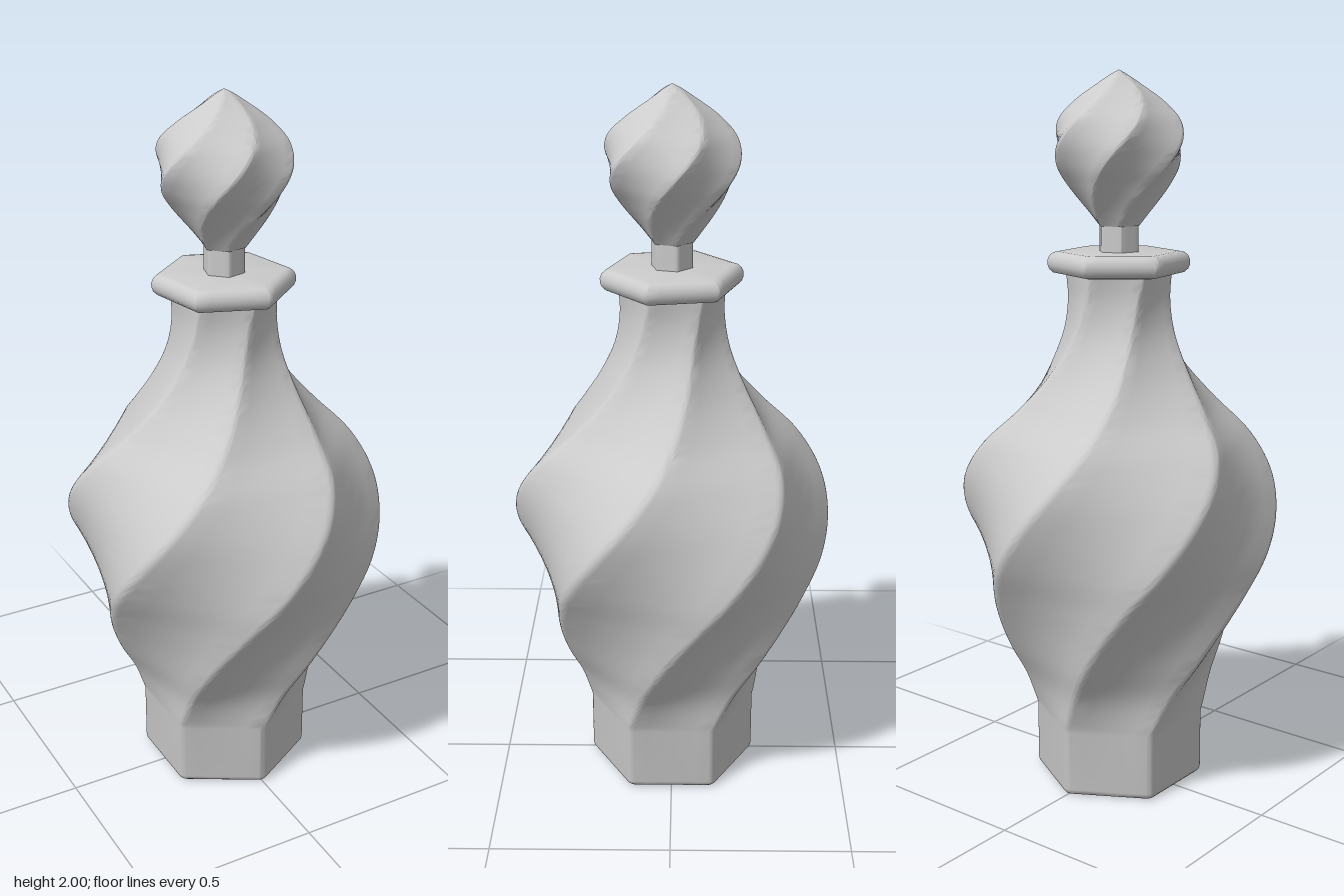
import * as THREE from 'three';
import { toCreasedNormals } from 'three/addons/utils/BufferGeometryUtils.js';

const RAD = Math.PI / 180;

// Hexagon of unit corner radius with filleted corners; first corner faces +z, turning towards +x
function hexSection(fillet, arcSteps = 5, sideSteps = 6) {
  const corner = 1 + fillet * (1 / Math.cos(30 * RAD) - 1);
  const centre = corner - fillet / Math.cos(30 * RAD);
  const points = [];
  for (let k = 0; k < 6; k++) {
    const a = k * 60 * RAD;
    const onArc = (base, t) => new THREE.Vector2(
      centre * Math.sin(base) + fillet * Math.sin(base + t),
      centre * Math.cos(base) + fillet * Math.cos(base + t));
    for (let i = 0; i <= arcSteps; i++) points.push(onArc(a, (-30 + 60 * i / arcSteps) * RAD));
    const from = onArc(a, 30 * RAD), to = onArc(a + 60 * RAD, -30 * RAD);
    for (let i = 1; i < sideSteps; i++) points.push(from.clone().lerp(to, i / sideSteps));
  }
  return points;
}

// Skin a stack of [radius, height] rings, each turned by twist(height) degrees
function loft(profile, twist, fillet = 0.1) {
  const section = hexSection(fillet), n = section.length;
  const positions = [], index = [];
  profile.forEach(([r, y], j) => {
    const a = twist(y) * RAD, c = Math.cos(a), s = Math.sin(a);
    section.forEach((p, i) => {
      positions.push(r * (p.x * c + p.y * s), y, r * (p.y * c - p.x * s));
      if (j === 0) return;
      const i2 = (i + 1) % n, lo = (j - 1) * n, hi = j * n;
      if (profile[j - 1][0] > 0) index.push(lo + i, lo + i2, hi + i2);
      if (r > 0) index.push(lo + i, hi + i2, hi + i);
    });
  });
  const geometry = new THREE.BufferGeometry();
  geometry.setAttribute('position', new THREE.Float32BufferAttribute(positions, 3));
  geometry.setIndex(index);
  return toCreasedNormals(geometry, 35 * RAD);
}

// Smooth curve through [radius, height] points
function smooth(points, steps) {
  const curve = new THREE.CatmullRomCurve3(points.map(([r, y]) => new THREE.Vector3(r, y, 0)));
  return curve.getSpacedPoints(steps).map(p => [Math.max(p.x, 0), p.y]);
}

export function createModel() {
  const group = new THREE.Group();
  const material = new THREE.MeshStandardMaterial({ color: 0xcccccc });
  const add = (name, geometry) => {
    const mesh = new THREE.Mesh(geometry, material);
    mesh.name = name;
    group.add(mesh);
  };

  // Bottle: straight hexagonal foot, twisted belly, slim neck
  const bottleTwist = y => 100 * (THREE.MathUtils.clamp(y, 0.2, 1.5) - 0.2);
  add('bottleBody', loft([
    [0, 0], [0.222, 0], [0.232, 0.003], [0.238, 0.009], [0.24, 0.018],
    ...smooth([
      [0.24, 0.19], [0.268, 0.3], [0.313, 0.4], [0.355, 0.5], [0.396, 0.6], [0.432, 0.7],
      [0.445, 0.8], [0.432, 0.9], [0.382, 1.0], [0.29, 1.1], [0.212, 1.2], [0.16, 1.3],
      [0.142, 1.39], [0.145, 1.47],
    ], 80),
  ], bottleTwist));

  // Lip: flat hexagonal collar with rounded rim
  add('lip', loft([
    [0, 1.46], [0.165, 1.46], [0.18, 1.463], [0.19, 1.472], [0.195, 1.484], [0.195, 1.496],
    [0.19, 1.508], [0.18, 1.517], [0.165, 1.52], [0, 1.52],
  ], () => 10, 0.06));

  // Stopper: thin stem carrying a twisted bulb with a soft point
  const bulbTwist = y => 37 + 260 * (y - 1.8);
  add('stopperStem', loft([[0, 1.5], [0.057, 1.5], [0.057, 1.6], [0, 1.6]], () => -15, 0.06));
  add('stopperBulb', loft([
    [0, 1.59],
    ...smooth([
      [0.06, 1.59], [0.085, 1.625], [0.14, 1.7], [0.174, 1.755], [0.187, 1.81],
      [0.171, 1.865], [0.122, 1.918], [0.065, 1.96], [0.025, 1.987], [0, 2],
    ], 44),
  ], bulbTwist));

  return group;
}
